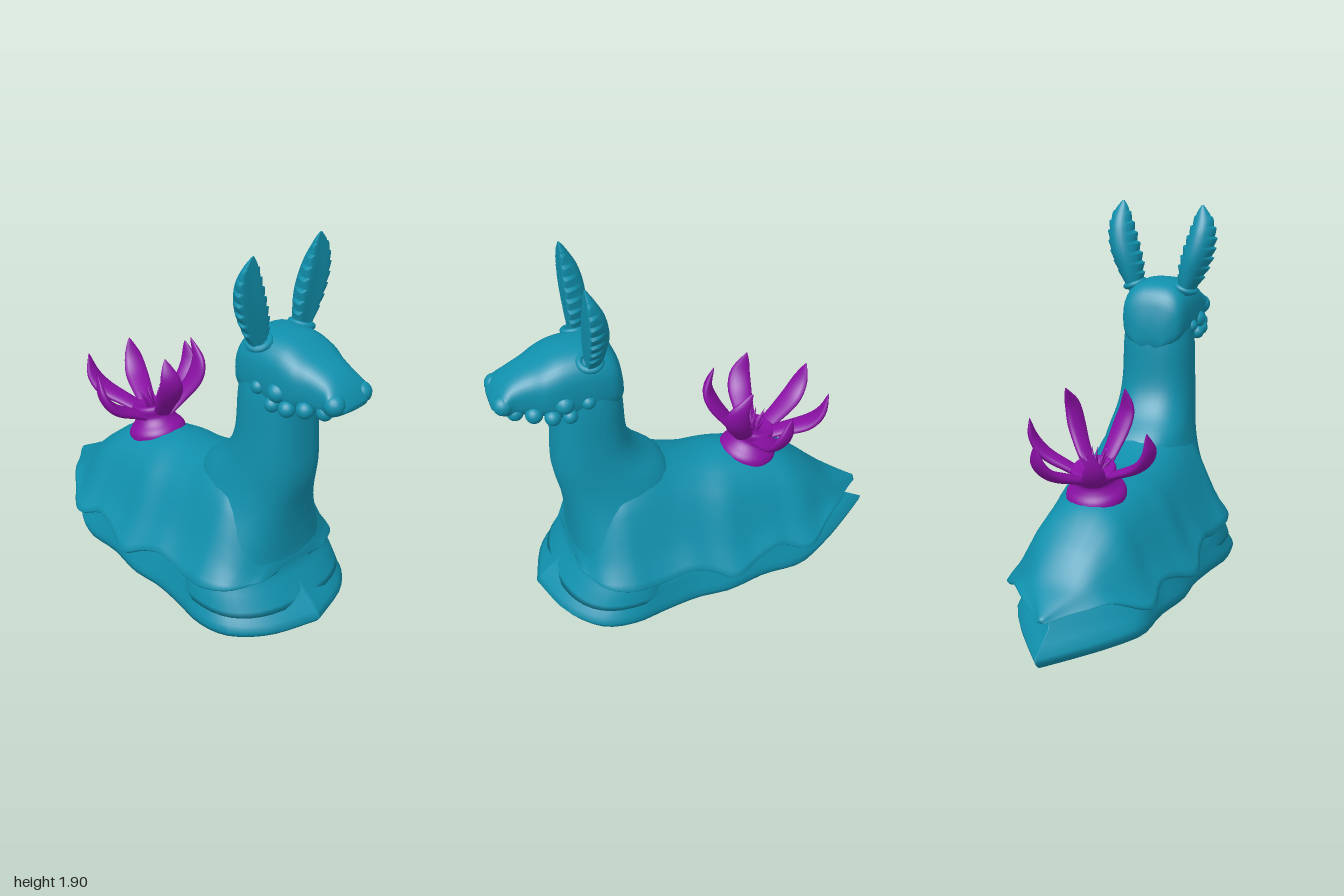
import * as THREE from 'three';

const teal = new THREE.MeshStandardMaterial({ color: 0x1090ad });
const purple = new THREE.MeshStandardMaterial({ color: 0x8b10a5 });

// Smooth interpolation through [position, value] pairs
function smooth(keys) {
  const slope = i => {
    const a = keys[Math.max(i - 1, 0)], b = keys[Math.min(i + 1, keys.length - 1)];
    return (b[1] - a[1]) / (b[0] - a[0]);
  };
  return x => {
    if (x <= keys[0][0]) return keys[0][1];
    let i = 0;
    while (i < keys.length - 2 && x > keys[i + 1][0]) i++;
    const h = keys[i + 1][0] - keys[i][0], t = Math.min((x - keys[i][0]) / h, 1);
    const t2 = t * t, t3 = t2 * t;
    return (2 * t3 - 3 * t2 + 1) * keys[i][1] + (t3 - 2 * t2 + t) * h * slope(i)
      + (3 * t2 - 2 * t3) * keys[i + 1][1] + (t3 - t2) * h * slope(i + 1);
  };
}

// Skin through closed rings of [x, y, z] points, capped at both ends, facing outwards
function loft(rings) {
  const n = rings[0].length, pos = rings.flat(), idx = [];
  for (let r = 0; r < rings.length - 1; r++) {
    for (let i = 0; i < n; i++) {
      const a = r * n + i, b = r * n + (i + 1) % n;
      idx.push(a, b, a + n, b, b + n, a + n);
    }
  }
  [0, rings.length - 1].forEach((r, end) => {
    const c = pos.length;
    pos.push([0, 1, 2].map(k => rings[r].reduce((s, p) => s + p[k], 0) / n));
    for (let i = 0; i < n; i++) {
      const a = r * n + i, b = r * n + (i + 1) % n;
      if (end) idx.push(a, b, c); else idx.push(b, a, c);
    }
  });
  let volume = 0;
  const v = pos.map(p => new THREE.Vector3(...p)), cross = new THREE.Vector3();
  for (let i = 0; i < idx.length; i += 3) {
    volume += v[idx[i]].dot(cross.crossVectors(v[idx[i + 1]], v[idx[i + 2]]));
  }
  if (volume < 0) idx.reverse();
  const g = new THREE.BufferGeometry();
  g.setAttribute('position', new THREE.Float32BufferAttribute(pos.flat(), 3));
  g.setIndex(idx);
  g.computeVertexNormals();
  return g;
}

// Unit ring; power above 2 makes it squarer
function unitRing(n, power = 2) {
  const p = v => Math.sign(v) * Math.abs(v) ** (2 / power);
  return Array.from({ length: n }, (_, i) => {
    const a = i / n * Math.PI * 2;
    return [p(Math.cos(a)), p(Math.sin(a))];
  });
}

const steps = (a, b, n, f) => Array.from({ length: n + 1 }, (_, i) => f(a + (b - a) * i / n));

export function createModel() {
  const model = new THREE.Group();
  const add = (name, geometry, material = teal, parent = model) => {
    const m = new THREE.Mesh(geometry, material);
    m.name = name;
    parent.add(m);
    return m;
  };

  // Foot: leaf-shaped plan stacked in levels of [y, back x, front x, width factor]
  const footWidth = smooth([[-1, 0], [-.85, .12], [-.7, .23], [-.52, .33], [-.3, .34], [-.08, .385],
    [.1, .38], [.3, .41], [.45, .44], [.6, .425], [.7, .36], [.8, .22], [.87, 0]]);
  const footLevels = [[0, -.88, .8, .9], [.02, -.96, .85, .98], [.05, -.99, .87, 1], [.08, -1, .85, .98],
    [.12, -.93, .81, .95], [.16, -.86, .76, .92], [.2, -.84, .73, .89], [.25, -.76, .69, .82]];
  add('foot', loft(footLevels.map(([y, back, front, f]) => {
    const side = steps(0, 1, 40, u => {
      const e = (1 - Math.cos(u * Math.PI)) / 2;
      return [back + (front - back) * e, y, footWidth(-1 + 1.87 * e) * f];
    });
    return [...side, ...side.slice(1, -1).reverse().map(([x, h, z]) => [x, h, -z])];
  })));

  // Mantle: humped sections along the body with a wavy overhanging rim
  const mantleWidth = smooth([[-.935, .02], [-.85, .1], [-.77, .19], [-.65, .29], [-.52, .385], [-.37, .37],
    [-.22, .405], [-.08, .455], [.05, .42], [.2, .408], [.35, .42], [.47, .43], [.6, .37], [.68, .22]]);
  const mantleRim = smooth([[-.935, .235], [-.8, .26], [-.7, .265], [-.52, .18], [-.35, .235], [-.25, .22],
    [-.08, .17], [.05, .225], [.15, .25], [.3, .22], [.42, .225], [.6, .25], [.68, .27]]);
  const mantleTop = smooth([[-.935, .255], [-.85, .3], [-.75, .36], [-.6, .5], [-.45, .61], [-.3, .655],
    [-.15, .68], [0, .69], [.15, .73], [.3, .8], [.4, .8], [.5, .74], [.6, .55], [.68, .32]]);
  const hump = [[.88, .07], [.97, 0], [1, .03], [.96, .09], [.87, .2], [.79, .33], [.71, .48],
    [.62, .65], [.51, .81], [.36, .92], [.18, .98]];
  add('mantle', loft(steps(-.935, .68, 90, x => {
    const w = mantleWidth(x), y = mantleRim(x), h = mantleTop(x) - y;
    const left = hump.map(([a, b]) => [x, y + b * h, a * w]);
    return [[x, y + .05 * h, 0], ...left, [x, y + h, 0],
      ...left.slice().reverse().map(([px, py, pz]) => [px, py, -pz])];
  })));

  // Chest and neck: rounded column flaring into the back
  const neckBack = smooth([[.12, .15], [.5, .15], [.7, .15], [.76, .19], [.83, .275], [.91, .335], [1, .362], [1.2, .375], [1.35, .4]]);
  const neckFront = smooth([[.12, .78], [.2, .73], [.28, .685], [.45, .68], [.6, .695], [.8, .732], [1, .725], [1.15, .715], [1.35, .7]]);
  const neckWidth = smooth([[.12, .42], [.2, .405], [.28, .38], [.4, .325], [.6, .248], [.8, .205], [1, .188], [1.2, .182], [1.35, .165]]);
  const column = unitRing(40, 2.4);
  add('neck', loft(steps(.12, 1.35, 50, y => {
    const b = neckBack(y), f = neckFront(y), w = neckWidth(y);
    return column.map(([c, s]) => [(b + f) / 2 + c * (f - b) / 2, y, s * w]);
  })));

  // Head: sections from the back of the skull to the muzzle
  const headTop = smooth([[.375, 1.32], [.39, 1.4], [.43, 1.47], [.5, 1.505], [.67, 1.5], [.8, 1.445], [.9, 1.4], [.96, 1.35], [1, 1.29]]);
  const headBottom = smooth([[.375, 1.18], [.5, 1.15], [.7, 1.155], [.78, 1.185], [.88, 1.205], [.95, 1.225], [1, 1.26]]);
  const headWidth = smooth([[.375, .08], [.4, .14], [.45, .168], [.6, .18], [.75, .172], [.82, .142], [.9, .125], [.96, .13], [1, .075]]);
  const skull = unitRing(36, 2.7);
  add('head', loft(steps(.375, 1, 44, x => {
    const t = headTop(x), b = headBottom(x), w = headWidth(x);
    return skull.map(([c, s]) => [x, (t + b) / 2 + s * (t - b) / 2, c * w]);
  })));

  // Lumps of the muzzle and cheeks: [x, y, z, radius]
  const lumps = [[.95, 1.295, .09, .05], [.9, 1.24, .09, .04], [.82, 1.235, .13, .042],
    [.74, 1.22, .16, .04], [.66, 1.215, .17, .036], [.68, 1.28, .155, .05], [.57, 1.27, .165, .035]];

  // Tall ears with toothed edges, rounded behind and flat in front
  const earWidth = smooth([[0, .035], [.15, .055], [.35, .072], [.6, .07], [.8, .052], [.93, .028], [1, .005]]);
  const earDepth = smooth([[0, .06], [.2, .085], [.45, .1], [.7, .08], [.9, .035], [1, .005]]);
  const earZ = smooth([[0, .14], [.25, .172], [.55, .21], [.8, .225], [1, .217]]);
  const earRing = unitRing(24);
  for (const s of [1, -1]) {
    const side = s > 0 ? 'left' : 'right';
    for (const [x, y, z, r] of lumps) {
      add(side + 'FaceLump', new THREE.SphereGeometry(r, 16, 12)).position.set(x, y, z * s);
    }
    add(side + 'Ear', loft(steps(0, 1, 72, t => {
      const saw = t > .1 && t < .92 ? (t * 9) % 1 : 0;
      const w = earWidth(t), d = earDepth(t);
      return earRing.map(([c, q]) => {
        const tooth = 1 + .28 * saw * Math.abs(c) ** 6;
        const dent = q > 0 ? .28 * (1 - .7 * q) : 1;
        return [.56 + .01 * t + q * d * dent, 1.44 + .465 * t, s * (earZ(t) + c * w * tooth)];
      });
    })));
    const collar = add(side + 'EarCollar', new THREE.TorusGeometry(.05, .016, 10, 24));
    collar.rotation.x = Math.PI / 2 + s * .35;
    collar.position.set(.545, 1.475, s * .14);
  }

  // Plume on the back: flared dish
  const plume = new THREE.Group();
  plume.name = 'plume';
  model.add(plume);
  const profile = [[0, -.05], [.13, -.05], [.148, -.015], [.14, .015], [.115, .045], [.1, .08], [.11, .12], [.09, .14], [0, .11]];
  const dish = add('plumeBase', new THREE.LatheGeometry(
    new THREE.SplineCurve(profile.map(p => new THREE.Vector2(...p))).getPoints(40), 32), purple, plume);
  dish.position.set(-.3, .64, 0);
  dish.rotation.z = .25;

  // Curved petals, flat in section and pointed at the tip
  const petalWidth = smooth([[0, .045], [.3, .052], [.6, .062], [.8, .048], [.93, .022], [1, .003]]);
  const petalRing = unitRing(16);
  const petal = points => {
    const curve = new THREE.CatmullRomCurve3(points.map(p => new THREE.Vector3(...p)));
    const [first, last] = [points[0], points[points.length - 1]];
    const across = new THREE.Vector3(first[2] - last[2], 0, last[0] - first[0]).normalize();
    add('petal', loft(steps(0, 1, 30, t => {
      const normal = curve.getTangentAt(t).cross(across).normalize();
      const c = curve.getPointAt(t), w = petalWidth(t);
      return petalRing.map(([a, b]) => c.clone().addScaledVector(across, a * w)
        .addScaledVector(normal, b * w * .42).toArray());
    })), purple, plume);
  };
  for (const s of [1, -1]) {
    petal([[-.32, .69, 0], [-.45, .745, .05 * s], [-.59, .81, .115 * s], [-.645, .88, .14 * s], [-.675, .98, .14 * s]]);
    petal([[-.31, .69, 0], [-.33, .75, .12 * s], [-.35, .82, .25 * s], [-.37, .9, .3 * s], [-.405, 1.005, .3 * s]]);
  }
  petal([[-.28, .7, 0], [-.21, .8, .03], [-.13, .92, .06], [-.105, 1.01, .08], [-.14, 1.12, .085]]);
  petal([[-.28, .7, 0], [-.24, .79, -.08], [-.18, .92, -.155], [-.175, 1.02, -.18], [-.24, 1.12, -.185]]);

  // Small spikes in the middle of the plume
  for (let i = 0; i < 12; i++) {
    const a = i * 2.4, lean = .25 + .06 * i;
    const dir = new THREE.Vector3(Math.cos(a) * lean, 1, Math.sin(a) * lean).normalize();
    const spike = add('plumeSpike', new THREE.ConeGeometry(.018, .14, 8), purple, plume);
    spike.quaternion.setFromUnitVectors(new THREE.Vector3(0, 1, 0), dir);
    spike.position.set(-.32, .72, 0).addScaledVector(dir, .08);
  }
  return model;
}
